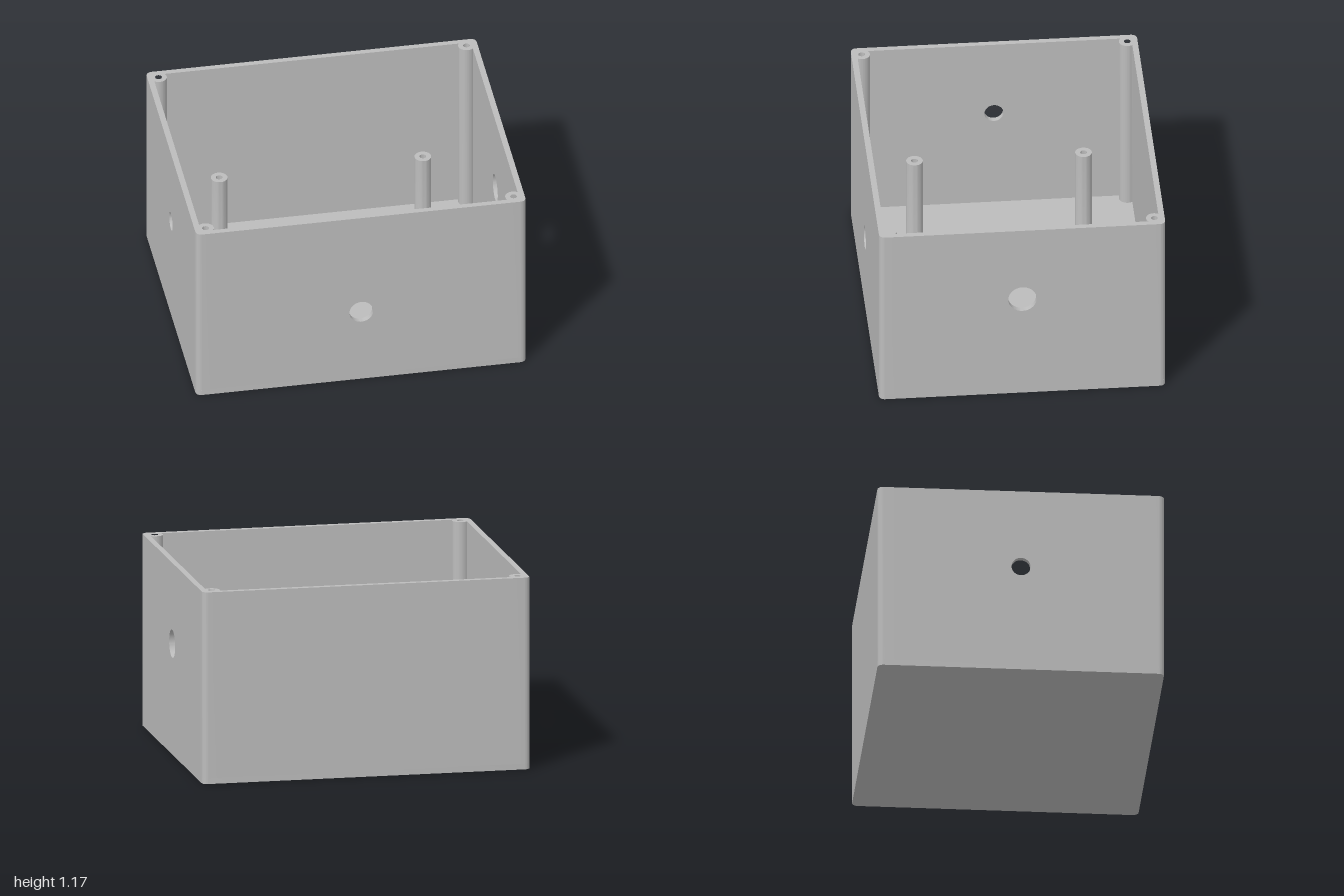
import * as THREE from 'three';
import { toCreasedNormals } from 'three/addons/utils/BufferGeometryUtils.js';

const X = 1, Z = 0.857, H = 1.17;   // half width, half depth, height
const T = 0.035, R = 0.035;         // wall thickness, outer corner radius
const BOSS = { u: 0.067, v: 0.062, r: 0.05 }; // screw boss, measured in from the outer corner
const SCREW = 0.02;

export function createModel() {
  const group = new THREE.Group();
  const grey = new THREE.MeshStandardMaterial({ color: 0xbcbcbc });
  grey.name = 'grey plastic';

  const add = (name, geometry) => {
    const mesh = new THREE.Mesh(toCreasedNormals(geometry, 0.6), grey);
    mesh.name = name;
    group.add(mesh);
    return mesh;
  };
  const extrude = (shape, depth) =>
    new THREE.ExtrudeGeometry(shape, { depth, bevelEnabled: false, curveSegments: 32 });
  const circle = (x, y, r) => new THREE.Path().absarc(x, y, r, 0, Math.PI * 2, true);
  // points along an arc
  const arc = (cx, cy, r, a0, a1, n) => Array.from({ length: n + 1 }, (_, i) => {
    const a = a0 + (a1 - a0) * i / n;
    return [cx + r * Math.cos(a), cy + r * Math.sin(a)];
  });

  // Floor slab with rounded corners
  const floor = new THREE.Shape();
  floor.absarc(X - R, Z - R, R, 0, Math.PI / 2);
  floor.absarc(-X + R, Z - R, R, Math.PI / 2, Math.PI);
  floor.absarc(-X + R, -Z + R, R, Math.PI, Math.PI * 1.5);
  floor.absarc(X - R, -Z + R, R, Math.PI * 1.5, Math.PI * 2);
  floor.closePath();
  add('floor', extrude(floor, T).rotateX(-Math.PI / 2));

  // Where each boss meets the inner wall faces
  const uEnd = BOSS.u + Math.sqrt(BOSS.r ** 2 - (BOSS.v - T) ** 2);
  const vEnd = BOSS.v + Math.sqrt(BOSS.r ** 2 - (BOSS.u - T) ** 2);

  // Corner columns: rounded outside, screw boss inside
  const a0 = Math.atan2(T - BOSS.v, uEnd - BOSS.u);
  const a1 = Math.atan2(vEnd - BOSS.v, T - BOSS.u);
  const outline = [
    [0, vEnd],
    ...arc(R, R, R, Math.PI, Math.PI * 1.5, 10),
    [uEnd, 0],
    ...arc(BOSS.u, BOSS.v, BOSS.r, a0, a1, 24),
  ];
  for (const sx of [-1, 1]) for (const sz of [-1, 1]) {
    const place = ([u, v]) => new THREE.Vector2(sx * (X - u), -sz * (Z - v));
    const shape = new THREE.Shape(outline.map(place));
    const c = place([BOSS.u, BOSS.v]);
    shape.holes.push(circle(c.x, c.y, SCREW));
    add('cornerColumn', extrude(shape, H - T).rotateX(-Math.PI / 2)).position.y = T;
  }

  // Flat walls, with an optional round cable hole
  const wall = (half, holeY, holeR) => {
    const shape = new THREE.Shape([[-half, T], [half, T], [half, H], [-half, H]]
      .map(([x, y]) => new THREE.Vector2(x, y)));
    if (holeR) shape.holes.push(circle(0, holeY, holeR));
    return extrude(shape, T);
  };
  const wx = X - uEnd, wz = Z - vEnd;
  add('frontWall', wall(wx, 0.487, 0.072)).position.z = Z - T;
  add('backWall', wall(wx)).position.z = -Z;
  add('leftWall', wall(wz, 0.676, 0.085).rotateY(Math.PI / 2)).position.x = X - T;
  add('rightWall', wall(wz, 0.676, 0.057).rotateY(Math.PI / 2)).position.x = -X;

  // Standoffs with a filleted foot and a screw hole
  const profile = [
    ...arc(0.065, T + 0.015, 0.015, Math.PI * 1.5, Math.PI, 6),
    [0.05, 0.6], [SCREW, 0.6], [SCREW, T + 0.002], [0, T + 0.002],
  ].map(([x, y]) => new THREE.Vector2(x, y));
  for (const sx of [-1, 1]) for (const sz of [-1, 1]) {
    add('standoff', new THREE.LatheGeometry(profile, 40)).position.set(sx * 0.617, 0, sz * 0.506);
  }

  return group;
}
